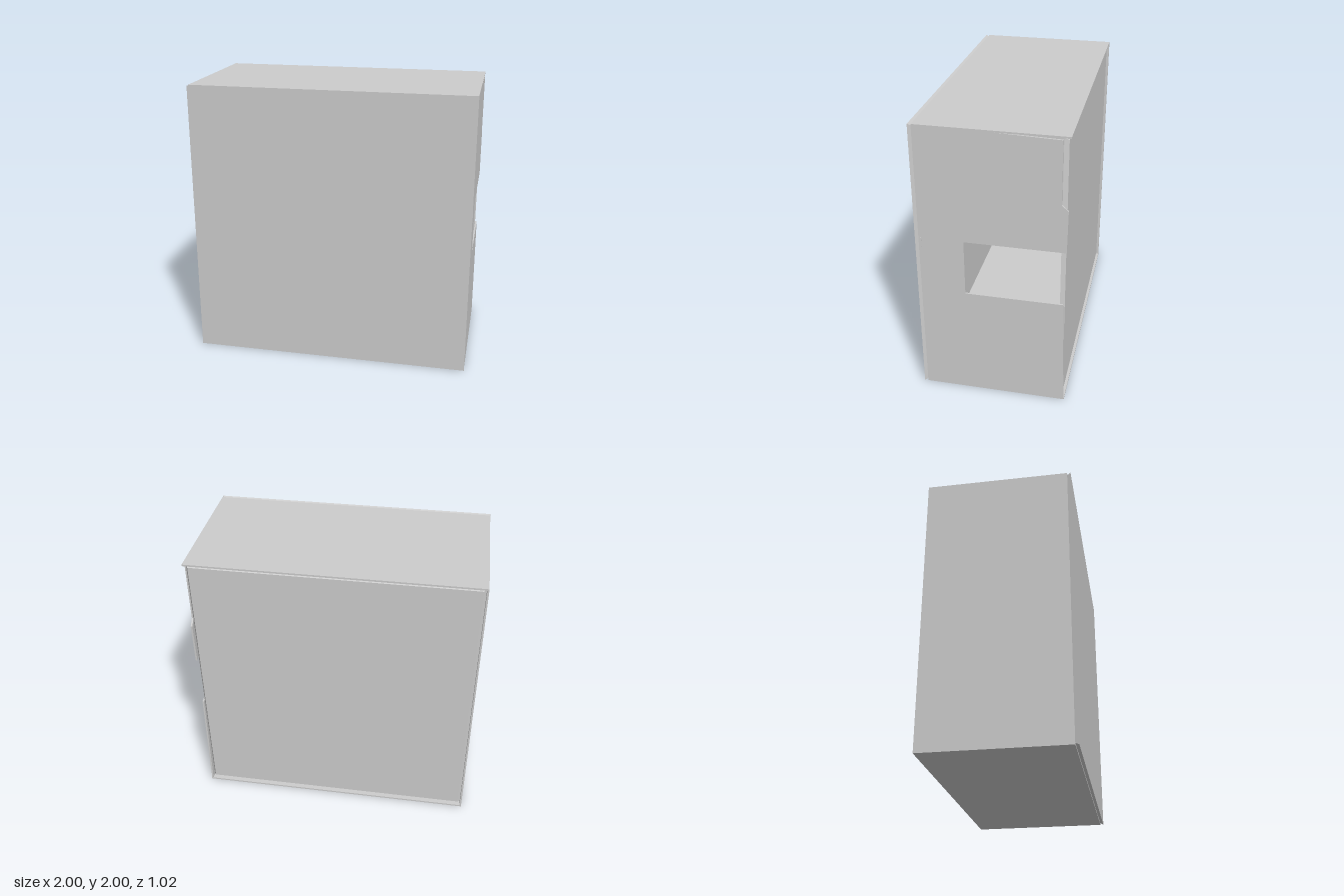
import * as THREE from 'three';

const T = 0.012; // sheet thickness

export function createModel() {
  const model = new THREE.Group();
  const mat = new THREE.MeshStandardMaterial({ color: 0xcccccc, flatShading: true, side: THREE.DoubleSide });

  const add = (name, geometry, x = 0, y = 0, z = 0) => {
    const mesh = new THREE.Mesh(geometry, mat);
    mesh.name = name;
    mesh.position.set(x, y, z);
    model.add(mesh);
    return mesh;
  };

  // Four-sided plate whose rim tapers from one half size to another along z
  const taperedPlate = (frontHalf, backHalf, depth) => {
    const g = new THREE.BoxGeometry(2, 2, depth);
    const p = g.attributes.position;
    for (let i = 0; i < p.count; i++) {
      const s = p.getZ(i) > 0 ? frontHalf : backHalf;
      p.setXY(i, p.getX(i) * s, p.getY(i) * s);
    }
    g.computeVertexNormals();
    return g;
  };

  // Side sheet from an outline of [z, y] points, extruded along +x
  const sideSheet = (points) => {
    const shape = new THREE.Shape(points.map(([z, y]) => new THREE.Vector2(-z, y)));
    return new THREE.ExtrudeGeometry(shape, { depth: T, bevelEnabled: false }).rotateY(Math.PI / 2);
  };

  // Front plate with a rim cut back behind its edges
  add('frontPanel', taperedPlate(1, 0.987, 0.025), 0, 1, 0.4975);

  // Top and bottom sheets reach past the recessed back
  add('topPanel', new THREE.BoxGeometry(1.996, T, 0.996), 0, 2 - T / 2, -0.012);
  add('bottomPanel', new THREE.BoxGeometry(1.996, T, 0.996), 0, T / 2, -0.012);

  // Right sheet: window open to the back, upper rear corner cut away
  add('windowSidePanel', sideSheet([
    [0.486, 0], [-0.508, 0], [-0.506, 0.05], [-0.485, 0.8],
    [0.18, 0.8], [0.18, 1.2], [-0.5, 1.2], [-0.505, 1.5],
    [-0.46, 1.54], [-0.46, 1.975], [0.3, 1.998], [0.486, 1.998],
  ]), 0.998 - T);

  // Plain opposite side
  add('plainSidePanel', sideSheet([
    [0.486, 0], [-0.51, 0], [-0.51, 1.998], [0.486, 1.998],
  ]), -0.998);

  // Back plate set slightly inside the lip, with a bevelled rim
  add('backPanel', taperedPlate(0.986, 0.968, 0.03), 0, 1, -0.478);

  // Small slot beside the front edge
  add('sideSlot', new THREE.BoxGeometry(0.004, 0.07, 0.006), 0.998, 1.165, 0.47);

  return model;
}
